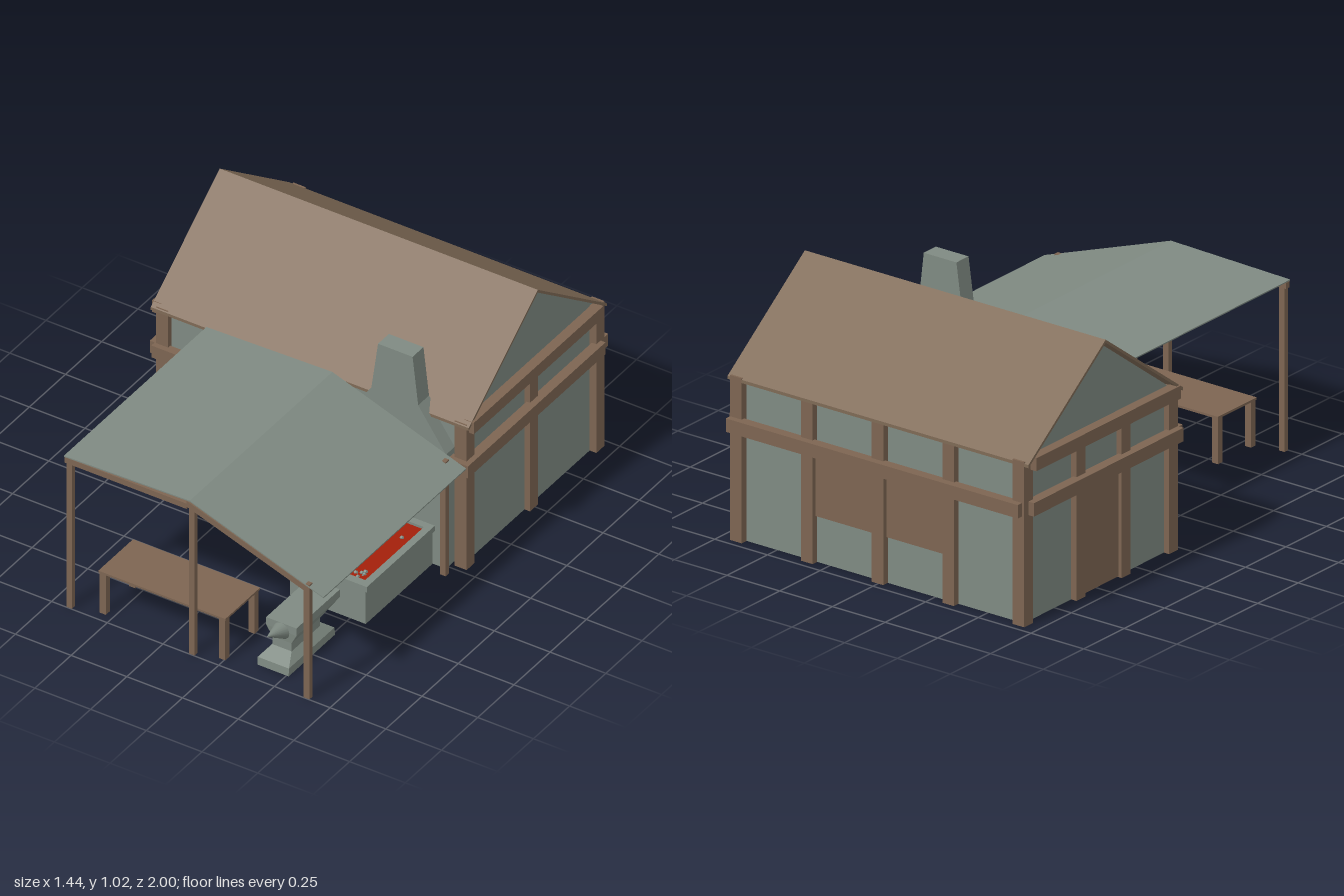
import * as THREE from 'three';

const mat = (name, color, side = THREE.FrontSide) => {
  const m = new THREE.MeshStandardMaterial({ color, side });
  m.name = name;
  return m;
};

export function createModel() {
  const root = new THREE.Group();
  root.name = 'smithy';
  const timber = mat('timber brown', 0x7d6552);
  const shingle = mat('roof brown', 0x7f6a56);
  const stone = mat('stone grey', 0x7f8a82);
  const ember = mat('ember red', 0xa3200a);

  const add = (name, geo, m, parent = root) => {
    const mesh = new THREE.Mesh(geo, m);
    mesh.name = name;
    parent.add(mesh);
    return mesh;
  };
  // Box given by its min and max on each axis
  const box = (name, x0, x1, y0, y1, z0, z1, m = timber, parent = root) => {
    const g = new THREE.BoxGeometry(x1 - x0, y1 - y0, z1 - z0);
    g.translate((x0 + x1) / 2, (y0 + y1) / 2, (z0 + z1) / 2);
    return add(name, g, m, parent);
  };
  const prism = (pts, d0, d1) => {
    const s = new THREE.Shape(pts.map(([a, b]) => new THREE.Vector2(a, b)));
    return new THREE.ExtrudeGeometry(s, { depth: d1 - d0, bevelEnabled: false }).translate(0, 0, d0);
  };
  // Profile of (-z, y) points swept along x
  const prismX = (pts, x0, x1) => prism(pts, x0, x1).rotateY(Math.PI / 2);
  // Closed strip of a given thickness below a line of points
  const strip = (line, t) => [...line, ...line.slice().reverse().map(([a, b]) => [a, b - t])];

  // House body and gable roof
  add('houseWalls', prismX([[0.045, 0], [0.94, 0], [0.94, 0.67], [0.4925, 1.003], [0.045, 0.67]], -0.67, 0.67), stone);
  add('houseRoof', prismX(strip([[0.015, 0.667], [0.4925, 1.02], [0.97, 0.667]], 0.013), -0.715, 0.712), shingle);

  // Corner posts
  for (const x of [-0.6675, 0.6725])
    for (const z of [-0.047, -0.943])
      box('cornerPost', x - 0.0275, x + 0.0275, 0, 0.673, z - 0.0275, z + 0.0275);

  // Wall posts between the corners
  for (const x of [-0.3325, 0.0025, 0.3375]) {
    box('frontPost', x - 0.0275, x + 0.0275, 0, 0.665, -0.06, -0.022);
    box('backPost', x - 0.0275, x + 0.0275, 0, 0.665, -0.968, -0.93);
  }
  box('rightSidePost', 0.66, 0.695, 0, 0.64, -0.52, -0.465);
  for (const z of [-0.62, -0.34])
    box('leftSidePost', -0.695, -0.66, 0, 0.64, z - 0.0275, z + 0.0275);

  // Horizontal beams
  box('frontBeam', -0.7, 0.685, 0.45, 0.505, -0.035, 0.003);
  box('backBeam', -0.685, 0.7, 0.45, 0.505, -0.997, -0.955);
  for (const s of [-1, 1]) {
    const a = s > 0 ? 0.68 : -0.722, b = s > 0 ? 0.722 : -0.68;
    box('sideBeam', a, b, 0.45, 0.505, -0.945, s > 0 ? 0.005 : -0.02);
    box('gableBeam', a, b, 0.63, 0.683, -0.93, -0.035);
  }

  // Doors and back shutters
  box('frontDoor', -0.305, -0.025, 0.003, 0.45, -0.045, -0.036);
  box('leftDoor', -0.679, -0.67, 0.003, 0.45, -0.6, -0.36);
  for (const s of [-1, 1])
    box('backShutter', s > 0 ? 0.03 : -0.305, s > 0 ? 0.31 : -0.025, 0.19, 0.45, -0.949, -0.94);
  const peg = add('wallPeg', new THREE.SphereGeometry(0.014, 8, 6), timber);
  peg.position.set(-0.47, 0.355, -0.04);

  // Chimney with sloping shoulders
  add('chimney', prism([[0.17, 0], [0.63, 0], [0.63, 0.53], [0.505, 0.71], [0.48, 0.925],
    [0.325, 0.925], [0.295, 0.71], [0.17, 0.53]], -0.06, 0.015), stone);

  // Forge: basin, rim, embers and coals
  const forge = new THREE.Group();
  forge.name = 'forge';
  root.add(forge);
  box('forgeBase', 0.23, 0.57, 0, 0.16, 0.015, 0.477, stone, forge);
  const rim = new THREE.Shape([[0.22, -0.485], [0.58, -0.485], [0.58, -0.015], [0.22, -0.015]].map(p => new THREE.Vector2(...p)));
  rim.holes.push(new THREE.Path([[0.25, -0.45], [0.25, -0.045], [0.55, -0.045], [0.55, -0.45]].map(p => new THREE.Vector2(...p))));
  const rimGeo = new THREE.ExtrudeGeometry(rim, { depth: 0.025, bevelEnabled: false });
  add('forgeRim', rimGeo.rotateX(-Math.PI / 2).translate(0, 0.155, 0), stone, forge);
  box('embers', 0.25, 0.55, 0.16, 0.169, 0.045, 0.45, ember, forge);
  let seed = 7;
  const rand = () => (seed = (seed * 16807) % 2147483647) / 2147483647;
  for (let i = 0; i < 26; i++) {
    const coal = add('coal', new THREE.DodecahedronGeometry(0.005 + rand() * 0.005), stone, forge);
    coal.position.set(0.26 + rand() * 0.28, 0.169, 0.44 - rand() * rand() * 0.38);
  }

  // Canopy on six posts
  add('canopy', prism(strip([[0.72, 0.496], [0.12, 0.708], [-0.445, 0.694]], -0.005).reverse(), 0.015, 1), stone);
  for (const [z0, z1] of [[0.035, 0.057], [0.977, 0.998]]) {
    box('canopyPost', -0.435, -0.41, 0, 0.675, z0, z1);
    box('canopyPost', 0.115, 0.14, 0, 0.685, z0, z1);
    box('canopyPost', 0.63, 0.656, 0, 0.53, z0, z1);
    add('canopyBeam', prism(strip([[-0.443, 0.692], [0.105, 0.692]], 0.025), z0, z1), timber);
    add('canopyRafter', prism(strip([[0.105, 0.704], [0.65, 0.516]], 0.026), z0, z1), timber);
  }

  // Work table
  const table = new THREE.Group();
  table.name = 'table';
  root.add(table);
  box('tableTop', -0.313, 0.257, 0.187, 0.196, 0.725, 0.965, timber, table);
  for (const x of [-0.31, 0.226])
    for (const z of [0.73, 0.933])
      box('tableLeg', x, x + 0.028, 0, 0.188, z, z + 0.028, timber, table);

  // Anvil: stacked rectangular sections (y, half width, back z, front z)
  const anvil = new THREE.Group();
  anvil.name = 'anvil';
  anvil.position.x = 0.44;
  root.add(anvil);
  const levels = [[0, 0.07, 0.597, 0.917], [0.035, 0.07, 0.6, 0.915], [0.068, 0.043, 0.66, 0.855],
    [0.105, 0.043, 0.66, 0.855], [0.152, 0.068, 0.56, 0.86], [0.187, 0.068, 0.56, 0.86]];
  const pos = [];
  const quad = (a, b, c, d) => pos.push(...a, ...b, ...c, ...a, ...c, ...d);
  const rings = levels.map(([y, w, b, f]) => [[-w, y, f], [w, y, f], [w, y, b], [-w, y, b]]);
  for (let i = 0; i + 1 < rings.length; i++)
    for (let k = 0; k < 4; k++) {
      const n = (k + 1) % 4;
      quad(rings[i][k], rings[i][n], rings[i + 1][n], rings[i + 1][k]);
    }
  quad(...rings[rings.length - 1]);
  quad(...rings[0].slice().reverse());
  const body = new THREE.BufferGeometry();
  body.setAttribute('position', new THREE.Float32BufferAttribute(pos, 3));
  body.computeVertexNormals();
  add('anvilBody', body, stone, anvil);

  // Horn: a cone whose tip is raised to the level of the top face
  const horn = new THREE.ConeGeometry(0.041, 0.115, 20, 1).rotateX(Math.PI / 2).translate(0, 0, 0.0575);
  const p = horn.attributes.position;
  for (let i = 0; i < p.count; i++) p.setY(i, p.getY(i) + (p.getZ(i) / 0.115) * 0.036);
  horn.computeVertexNormals();
  add('anvilHorn', horn, stone, anvil).position.set(0, 0.146, 0.845);

  return root;
}
